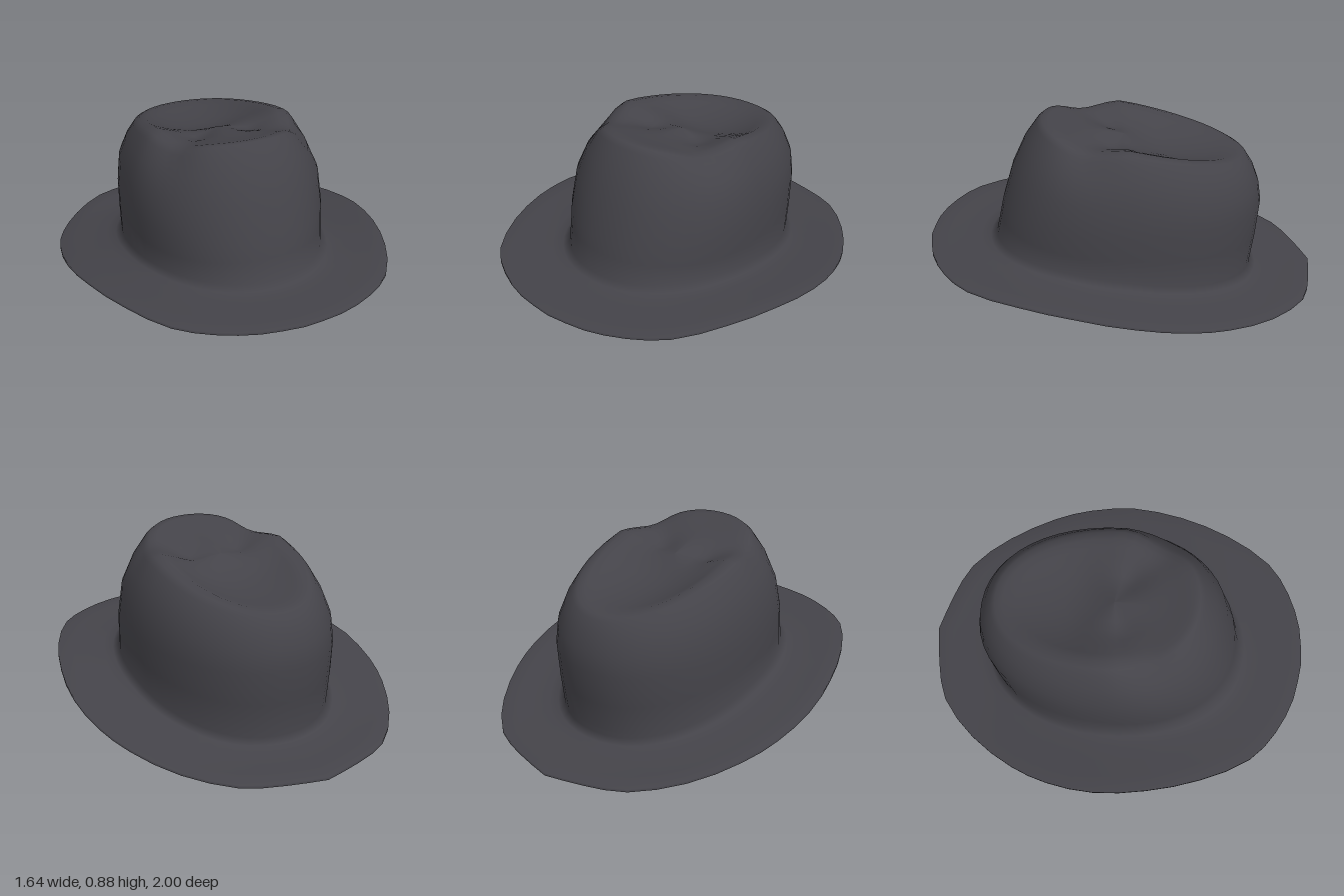
import * as THREE from 'three';

const N = 48;

// Skin closed rings of N points; each ring runs from +z towards +x
function loft(rings, material, name) {
  const index = [];
  for (let j = 0; j < rings.length - 1; j++) {
    for (let i = 0; i < N; i++) {
      const a = j * N + i, b = j * N + ((i + 1) % N);
      index.push(a, b, a + N, b, b + N, a + N);
    }
  }
  const g = new THREE.BufferGeometry();
  g.setAttribute('position', new THREE.Float32BufferAttribute(rings.flat(2), 3));
  g.setIndex(index);
  g.computeVertexNormals();
  const mesh = new THREE.Mesh(g, material);
  mesh.name = name;
  return mesh;
}

const ring = (fn) => Array.from({ length: N }, (_, i) => fn(i));

// Height of the brim sheet along its length: level in front, sloping down behind
const slope = [[-1, 0.01], [-0.64, 0.05], [-0.3, 0.113], [0, 0.17], [0.3, 0.213],
  [0.55, 0.233], [0.8, 0.239], [1.01, 0.241]];
function brimHeight(z) {
  let i = 0;
  while (i < slope.length - 2 && z > slope[i + 1][0]) i++;
  const [z0, y0] = slope[i], [z1, y1] = slope[i + 1];
  return y0 + (y1 - y0) * (z - z0) / (z1 - z0);
}

// Rounded oval with separate front and back lengths
function oval(i, width, front, back) {
  const t = (i / N) * Math.PI * 2;
  const soft = (v) => (Math.abs(v) < 1e-9 ? 0 : Math.sign(v) * Math.abs(v) ** 0.94);
  const c = soft(Math.cos(t));
  return [width * soft(Math.sin(t)), c * (c > 0 ? front : back), c];
}

// Rise from the side height to the front and back heights
const tilt = (c, front, side, back) =>
  c > 0 ? side + (front - side) * c * c : side + (side - back) * c;

const bump = (x, z, cx, cz, r) => Math.exp(-((Math.abs(x) - cx) ** 2 + (z - cz) ** 2) / (r * r));

// Finger pinches on both sides of the front peak
function pinch([x, y, z]) {
  const g = bump(x, z, 0.29, 0.19, 0.12) * THREE.MathUtils.smoothstep(y, 0.6, 0.82);
  return [x * (1 - 0.09 * g), y - 0.03 * g, z];
}

// Brim outline, front to back on one side, mirrored to the other
const half = [[0, 1], [0.2, 0.975], [0.39, 0.9], [0.55, 0.78], [0.69, 0.54], [0.78, 0.27],
  [0.82, 0], [0.795, -0.25], [0.73, -0.45], [0.59, -0.69], [0.4, -0.88], [0.2, -0.955], [0, -1]];
const curve = new THREE.CatmullRomCurve3(half.map(([x, z]) => new THREE.Vector3(x, 0, z)));
const outline = ring((i) => {
  const p = curve.getPoint((i <= N / 2 ? i : N - i) / (N / 2));
  return [i <= N / 2 ? p.x : -p.x, p.z];
});

// Brim ring; t runs from the crown (0) to the brim edge (1)
const brimRing = (t, lift) => ring((i) => {
  const [x, z] = oval(i, 0.485, 0.66, 0.665);
  const px = x + (outline[i][0] - x) * t, pz = z + (outline[i][1] - z) * t;
  return [px, brimHeight(pz) + lift, pz];
});

function crownRings() {
  // Wall: half width, front, back, then heights at front, side and back
  const wall = [
    [0.488, 0.635, 0.69, 0.38, 0.33, 0.26],
    [0.488, 0.62, 0.705, 0.45, 0.45, 0.43],
    [0.476, 0.565, 0.69, 0.63, 0.6, 0.53],
    [0.435, 0.5, 0.66, 0.77, 0.715, 0.61],
    [0.39, 0.435, 0.625, 0.862, 0.8, 0.665],
    [0.36, 0.41, 0.6, 0.884, 0.826, 0.682],
    [0.32, 0.375, 0.56, 0.88, 0.836, 0.692],
  ];
  const rings = wall.map(([w, f, b, yf, ys, yb]) => ring((i) => {
    const [x, z, c] = oval(i, w, f, b);
    return pinch([x, tilt(c, yf, ys, yb), z]);
  }));

  // Top: a ridge behind the peak, a pit on each side of it and a hollow towards the back
  for (const s of [0.88, 0.74, 0.6, 0.45, 0.3, 0.15, 0]) {
    rings.push(ring((i) => {
      const [x, z, c] = oval(i, 0.32 * s, 0.375 * s, 0.56 * s);
      const behind = 1 - THREE.MathUtils.smoothstep(z, -0.22, 0.12);
      const hollow = (1 - s * s) * (0.025 + 0.07 * behind);
      const pits = 0.04 * bump(x, z, 0.14, 0.06, 0.09);
      return pinch([x, tilt(c * s, 0.88, 0.836, 0.692) - hollow - pits, z]);
    }));
  }
  return rings;
}

export function createModel() {
  const hat = new THREE.Group();
  hat.name = 'hat';
  const felt = new THREE.MeshStandardMaterial({ color: 0x444349, side: THREE.DoubleSide });
  felt.name = 'charcoal felt';
  const crown = crownRings();

  // Outer felt: from the raised brim edge, through a shallow trough, up and over the crown
  hat.add(loft([
    brimRing(1, -0.006), brimRing(1, 0.008), brimRing(0.75, 0.007), brimRing(0.5, 0.004),
    brimRing(0.25, 0.005), brimRing(0.1, 0.012), brimRing(0, 0.034), ...crown,
  ], felt, 'crownAndBrim'));

  // Inner felt: just inside the crown, down to the opening and out under the brim
  const lining = crown.map((r) => r.map(([x, y, z]) => [x * 0.985, y - 0.012, z * 0.985])).reverse();
  hat.add(loft([
    ...lining, brimRing(0, 0.01), brimRing(0.08, -0.02), brimRing(0.3, -0.022),
    brimRing(0.65, -0.015), brimRing(1, -0.006),
  ], felt, 'liningAndUnderside'));
  return hat;
}
